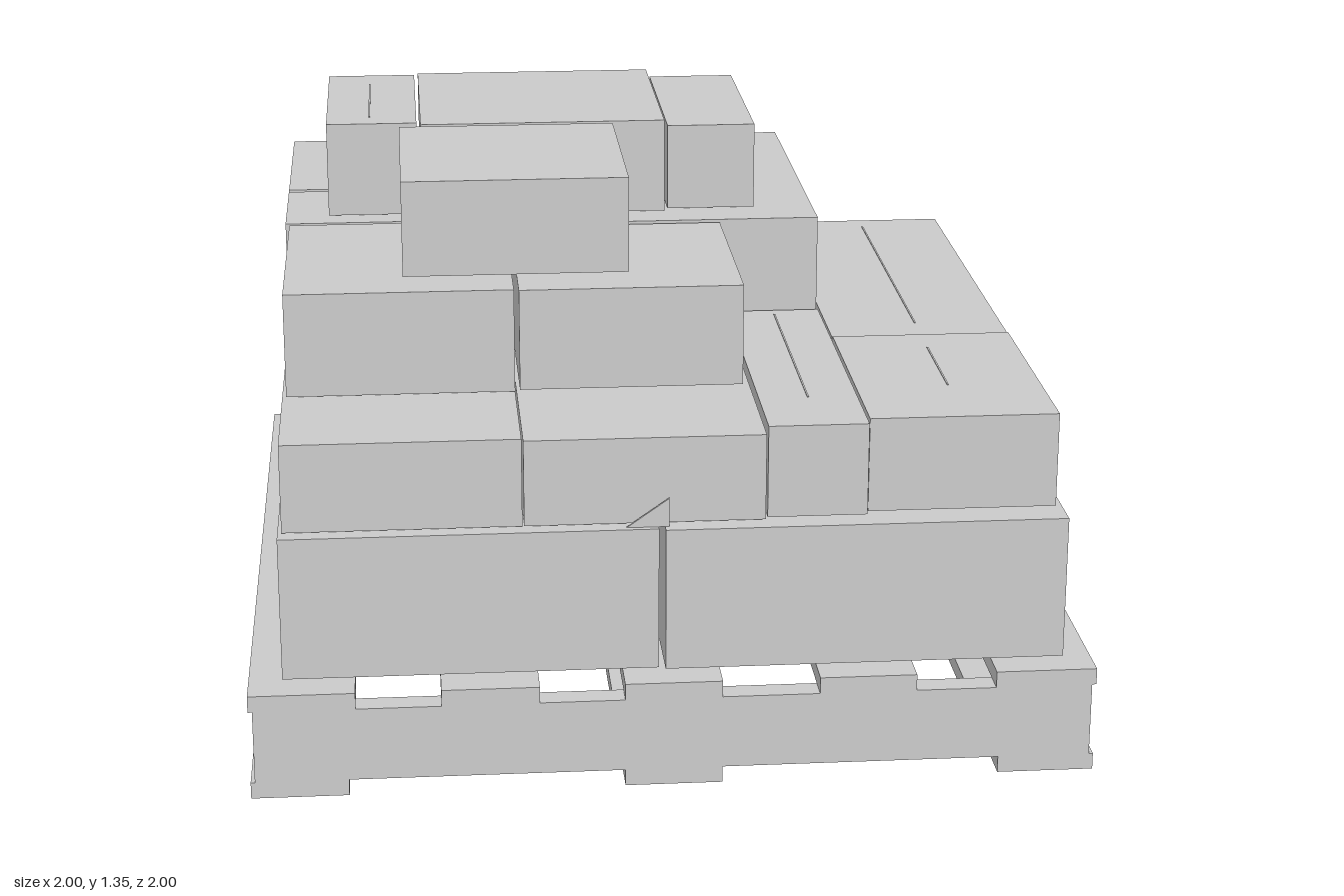
import * as THREE from 'three';

export function createModel() {
  const model = new THREE.Group();
  const grey = new THREE.MeshStandardMaterial({ color: 0xcccccc });
  grey.name = 'light grey';

  // Box given by its limits on each axis
  function block(parent, name, x0, x1, y0, y1, z0, z1) {
    const mesh = new THREE.Mesh(new THREE.BoxGeometry(x1 - x0, y1 - y0, z1 - z0), grey);
    mesh.position.set((x0 + x1) / 2, (y0 + y1) / 2, (z0 + z1) / 2);
    mesh.name = name;
    parent.add(mesh);
    return mesh;
  }
  function group(name) {
    const g = new THREE.Group();
    g.name = name;
    model.add(g);
    return g;
  }

  // Pallet: bottom boards, cross beams, deck boards
  const pallet = group('pallet');
  for (const [x0, x1] of [[-1, -0.77], [-0.12, 0.11], [0.77, 1]])
    block(pallet, 'bottomBoard', x0, x1, 0, 0.04, -1, 1);
  for (const [z0, z1] of [[-0.99, -0.93], [-0.03, 0.04], [0.94, 1]])
    block(pallet, 'crossBeam', -0.99, 0.99, 0.04, 0.22, z0, z1);
  for (const [x0, x1] of [[-1, -0.75], [-0.55, -0.32], [-0.12, 0.11], [0.34, 0.57], [0.76, 1]])
    block(pallet, 'deckBoard', x0, x1, 0.22, 0.26, -1, 1);

  // Carton layers, each row: x0, x1, y0, y1, z0, z1
  const layers = {
    bottomLayer: [
      [-0.92, -0.035, 0.27, 0.62, -0.42, 0.93],
      [-0.02, 0.93, 0.27, 0.62, -0.4, 0.94],
      [-0.92, -0.26, 0.27, 0.62, -0.96, -0.43],
      [-0.255, 0.265, 0.27, 0.62, -0.96, -0.43],
      [0.27, 0.92, 0.27, 0.62, -0.96, -0.41],
    ],
    secondLayer: [
      [-0.91, -0.352, 0.625, 0.84, -0.02, 0.9],
      [-0.348, 0.218, 0.625, 0.835, -0.02, 0.9],
      [0.222, 0.458, 0.63, 0.855, 0, 0.9],
      [0.462, 0.91, 0.63, 0.86, 0.25, 0.88],
      [0.462, 0.91, 0.63, 0.855, -0.84, 0.235],
      [-0.92, 0.458, 0.625, 0.84, -0.92, -0.03],
    ],
    thirdLayer: [
      [-0.33, 0.455, 0.845, 1.1, -0.92, -0.01],
      [-0.91, -0.34, 0.845, 1.1, -0.92, -0.39],
      [-0.91, -0.34, 0.845, 1.1, -0.37, -0.055],
      [-0.9, -0.352, 0.845, 1.1, -0.04, 0.57],
      [-0.34, 0.2, 0.845, 1.095, 0, 0.56],
    ],
    topLayer: [
      [-0.8, -0.57, 1.105, 1.345, -0.66, -0.11],
      [-0.56, 0.065, 1.105, 1.345, -0.675, -0.09],
      [0.075, 0.3, 1.105, 1.325, -0.675, -0.11],
      [-0.615, -0.07, 1.11, 1.345, -0.07, 0.475],
    ],
  };
  for (const [name, boxes] of Object.entries(layers)) {
    const layer = group(name);
    for (const limits of boxes) block(layer, 'carton', ...limits);
  }

  // Thin closing seams on the exposed lids: x, top, z0, z1
  const seams = group('lidSeams');
  for (const [x, y, z0, z1] of [
    [0.69, 0.855, -0.77, 0.14], [0.685, 0.86, 0.36, 0.65],
    [0.34, 0.855, 0.04, 0.7], [-0.69, 1.345, -0.55, -0.18],
  ]) block(seams, 'lidSeam', x - 0.002, x + 0.002, y - 0.002, y + 0.002, z0, z1);

  // Small raised flap corner at the front
  const corner = new THREE.Shape([[-0.11, 0.62], [-0.01, 0.62], [-0.01, 0.69]]
    .map(([x, y]) => new THREE.Vector2(x, y)));
  const flap = new THREE.Mesh(
    new THREE.ExtrudeGeometry(corner, { depth: 0.006, bevelEnabled: false }), grey);
  flap.position.z = 0.91;
  flap.name = 'flapCorner';
  model.add(flap);

  return model;
}
